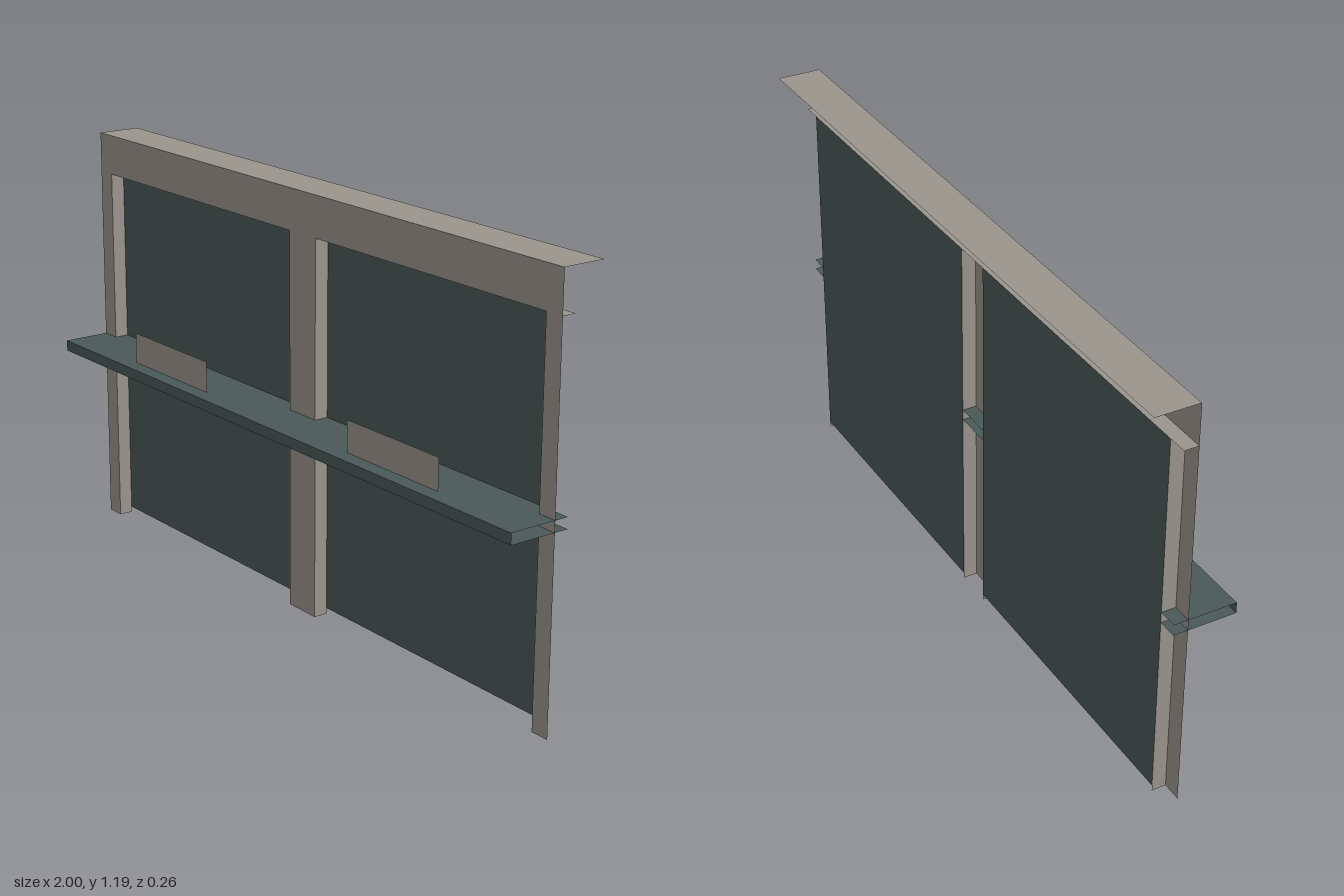
import * as THREE from 'three';

export function createModel() {
  const model = new THREE.Group();
  const stone = new THREE.MeshStandardMaterial({ name: 'warm grey', color: 0x9a958d, side: THREE.DoubleSide });
  const slate = new THREE.MeshStandardMaterial({ name: 'dark slate', color: 0x4b5858, side: THREE.DoubleSide });

  // Key planes
  const height = 1.188, lintel = 1.072, sill = 0.017;
  const zBack = -0.132, zPanel = -0.047, zFrame = -0.006, zPlate = 0.088, zEdge = 0.132;
  const inner = 0.057, outer = 0.944; // jamb positions on each side
  const shelfLow = 0.541, shelfTop = 0.572;

  function add(name, geometry, material) {
    const mesh = new THREE.Mesh(geometry, material);
    mesh.name = name;
    model.add(mesh);
  }
  // Upright sheet facing the front
  function upright(name, x0, x1, y0, y1, z, material) {
    add(name, new THREE.PlaneGeometry(x1 - x0, y1 - y0)
      .translate((x0 + x1) / 2, (y0 + y1) / 2, z), material);
  }
  // Level sheet across the full width
  function level(name, z0, z1, y, material) {
    add(name, new THREE.PlaneGeometry(2, z1 - z0).rotateX(-Math.PI / 2)
      .translate(0, y, (z0 + z1) / 2), material);
  }
  // Side sheet lining an opening
  function jamb(x) {
    add('jamb', new THREE.PlaneGeometry(zFrame - zPanel, lintel).rotateY(Math.PI / 2)
      .translate(x, lintel / 2, (zFrame + zPanel) / 2), stone);
  }

  // Front frame with two openings that reach the ground
  const outline = [
    [-1, 0], [-outer, 0], [-outer, lintel], [-inner, lintel], [-inner, 0],
    [inner, 0], [inner, lintel], [outer, lintel], [outer, 0], [1, 0],
    [1, height], [-1, height],
  ];
  const frame = new THREE.Shape(outline.map(([x, y]) => new THREE.Vector2(x, y)));
  add('frontFrame', new THREE.ShapeGeometry(frame).translate(0, 0, zFrame), stone);

  // Top ledge and underside of the header
  level('topLedge', zBack, zFrame, height, stone);
  level('headerUnderside', zPanel, zFrame, lintel, stone);

  // Recessed panels, jambs and small upright plates on the shelf
  for (const side of [-1, 1]) {
    const mid = side * (inner + outer) / 2, half = (outer - inner) / 2;
    upright('recessedPanel', mid - half, mid + half, sill, lintel, zPanel, slate);
    jamb(side * inner);
    jamb(side * outer);
    upright('shelfPlate', mid - 0.182, mid + 0.182, shelfTop, 0.661, zPlate, stone);
  }

  // Open-ended shelf running through the frame
  level('shelfTop', zPanel, zEdge, shelfTop, slate);
  level('shelfUnderside', zPanel, zEdge, shelfLow, slate);
  upright('shelfFront', -1, 1, shelfLow, shelfTop, zEdge, slate);

  return model;
}
